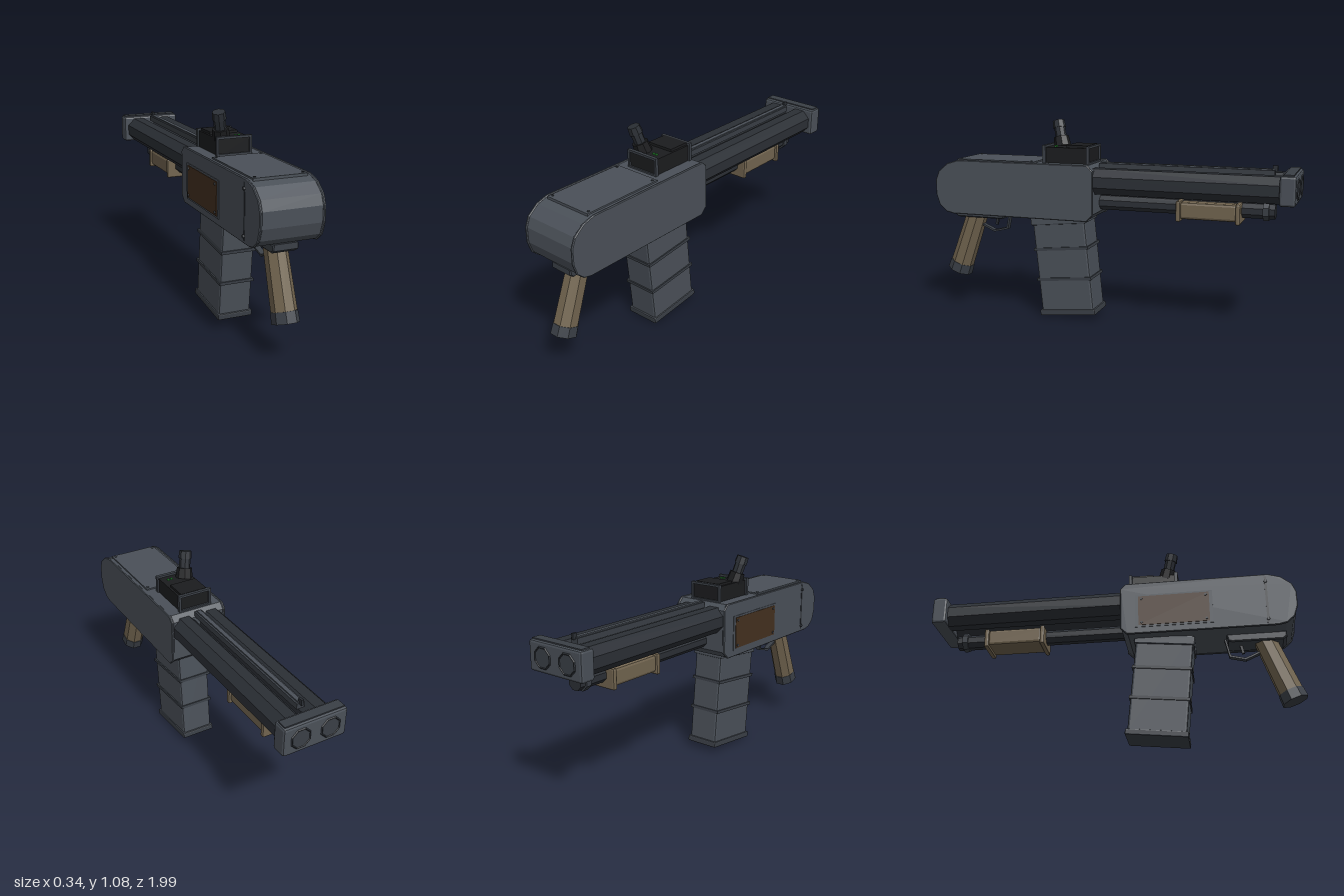
import * as THREE from 'three';
import { RoundedBoxGeometry } from 'three/addons/geometries/RoundedBoxGeometry.js';

const mat = (color) => new THREE.MeshStandardMaterial({ color, flatShading: true });
const SLATE = mat(0x4a5058), STEEL = mat(0x3a3f46), DARK = mat(0x2b2f35), BLACK = mat(0x1b1c1e);
const TAN = mat(0x71644f), BROWN = mat(0x44301f), GREEN = mat(0x2fae3a);

export function createModel() {
  const model = new THREE.Group();
  model.name = 'model';

  const add = (name, geometry, material, [x, y, z] = [0, 0, 0], parent = model) => {
    const mesh = new THREE.Mesh(geometry, material);
    mesh.name = name;
    mesh.position.set(x, y, z);
    parent.add(mesh);
    return mesh;
  };
  const box = (w, h, d, bevel = 0) =>
    bevel ? new RoundedBoxGeometry(w, h, d, 1, bevel) : new THREE.BoxGeometry(w, h, d);
  // Octagonal prism with flats facing the axes; a and b are distances to the flats
  const octagon = (a, b, length) => {
    const k = 1 / Math.cos(Math.PI / 8);
    return new THREE.CylinderGeometry(a * k, b * k, length, 8).rotateY(Math.PI / 8);
  };
  const octagonZ = (a, z0, z1) => octagon(a, a, z1 - z0).rotateX(Math.PI / 2).translate(0, 0, (z0 + z1) / 2);
  // Side profile given as [z, y], extruded across x
  const slab = (points, width, bevel) => {
    const shape = new THREE.Shape(points.map(([z, y]) => new THREE.Vector2(z, y)));
    const depth = width - 2 * bevel;
    return new THREE.ExtrudeGeometry(shape, {
      depth, bevelEnabled: bevel > 0, bevelThickness: bevel, bevelSize: bevel, bevelOffset: -bevel, bevelSegments: 1,
    }).translate(0, 0, -depth / 2).rotateY(-Math.PI / 2);
  };

  // Receiver core and its slightly larger side plates
  const profile = [
    [0.085, 0.565], [0.87, 0.565], [0.915, 0.575], [0.955, 0.61], [0.975, 0.67], [0.975, 0.75],
    [0.955, 0.80], [0.90, 0.845], [0.835, 0.865], [0.08, 0.865], [0.05, 0.835], [0.05, 0.60],
  ];
  const inset = profile.map(([z, y]) => [0.51 + (z - 0.51) * 0.99, 0.715 + (y - 0.715) * 0.975]);
  add('receiver', slab(inset, 0.31, 0), SLATE);
  for (const s of [-1, 1]) add('sidePlate', slab(profile, 0.014, 0.004), SLATE, [s * 0.155, 0, 0]);
  add('topCover', box(0.27, 0.014, 0.46), SLATE, [0, 0.862, 0.62]);
  for (const x of [-0.12, 0.12]) for (const z of [0.41, 0.83])
    add('coverScrew', new THREE.CylinderGeometry(0.007, 0.007, 0.005, 6), STEEL, [x, 0.87, z]);

  // Framed panel with screws on one side
  add('sidePanelFrame', box(0.006, 0.19, 0.41), SLATE, [-0.162, 0.695, 0.335]);
  add('sidePanel', box(0.008, 0.17, 0.375), BROWN, [-0.164, 0.695, 0.335]);
  for (const y of [0.625, 0.765]) for (const z of [0.165, 0.505])
    add('panelScrew', new THREE.CylinderGeometry(0.007, 0.007, 0.006, 6).rotateZ(Math.PI / 2), STEEL, [-0.169, y, z]);
  add('sideGroove', box(0.005, 0.27, 0.012), DARK, [-0.161, 0.715, 0.82]);
  for (const y of [0.60, 0.82])
    add('grooveScrew', new THREE.CylinderGeometry(0.009, 0.009, 0.01, 6).rotateZ(Math.PI / 2), STEEL, [-0.165, y, 0.82]);

  // Twin barrels with collars where they meet the receiver
  for (const s of [-1, 1]) {
    add('barrel', octagonZ(0.068, -0.93, 0.08), DARK, [s * 0.08, 0.775, 0]);
    add('muzzleRing', new THREE.TorusGeometry(0.052, 0.005, 4, 8).rotateZ(Math.PI / 8), DARK, [s * 0.08, 0.78, -0.994]);
    add('muzzleCap', octagonZ(0.044, -0.996, -0.98), STEEL, [s * 0.08, 0.78, 0]);
  }
  add('muzzleBlock', box(0.34, 0.15, 0.082, 0.012), SLATE, [0, 0.78, -0.953]);
  add('muzzleTop', box(0.32, 0.012, 0.05), STEEL, [0, 0.855, -0.955]);
  add('rail', box(0.042, 0.03, 0.93), STEEL, [0, 0.847, -0.405]);
  add('railTop', box(0.022, 0.012, 0.92), SLATE, [0, 0.862, -0.405]);
  add('frontSight', box(0.012, 0.03, 0.025), DARK, [0, 0.87, -0.87]);

  // Tube under the barrels with sliding fore-end
  add('lowerTube', octagonZ(0.038, -0.88, 0.08), DARK, [0, 0.65, 0]);
  add('tubeCollar', octagonZ(0.048, -0.85, -0.82), STEEL, [0, 0.652, 0]);
  add('foreEnd', box(0.15, 0.09, 0.30, 0.014), TAN, [0, 0.64, -0.545]);
  for (const z of [-0.39, -0.7]) add('foreEndFlange', box(0.17, 0.108, 0.025, 0.008), TAN, [0, 0.636, z]);

  // Slanted magazine
  const magazine = new THREE.Group();
  magazine.name = 'magazine';
  magazine.position.set(0, 0.02, 0.222);
  magazine.rotation.x = 0.1;
  model.add(magazine);
  add('magazineBody', box(0.175, 0.56, 0.305, 0.012), SLATE, [0, 0.30, 0], magazine);
  add('magazineBase', box(0.19, 0.032, 0.325, 0.006), STEEL, [0, 0.016, 0], magazine);
  for (const y of [0.205, 0.375]) add('magazineBand', box(0.188, 0.016, 0.317), STEEL, [0, y, 0], magazine);
  add('magazineCollar', box(0.19, 0.05, 0.32, 0.006), SLATE, [0, 0.535, 0], magazine);

  // Grip, its mounting plate and the trigger guard
  add('gripPlate', slab([[0.60, 0.575], [0.61, 0.535], [0.63, 0.53], [0.895, 0.53], [0.915, 0.545], [0.915, 0.575]], 0.13, 0.006), STEEL);
  const grip = new THREE.Group();
  grip.name = 'grip';
  grip.position.set(0, 0.53, 0.81);
  grip.rotation.x = -0.35;
  model.add(grip);
  add('gripHandle', octagon(0.055, 0.061, 0.34), TAN, [0, -0.135, 0], grip).scale.x = 0.92;
  add('gripCap', octagon(0.064, 0.066, 0.055), STEEL, [0, -0.3225, 0], grip).scale.x = 0.9;
  const guard = [[0.775, 0.485], [0.695, 0.45], [0.615, 0.47], [0.595, 0.565]];
  for (let i = 0; i < 3; i++) {
    const [z0, y0] = guard[i], [z1, y1] = guard[i + 1];
    add('triggerGuard', box(0.03, 0.01, Math.hypot(z1 - z0, y1 - y0) + 0.006), STEEL, [0, (y0 + y1) / 2, (z0 + z1) / 2])
      .rotation.x = -Math.atan2(y1 - y0, z1 - z0);
  }
  add('trigger', box(0.015, 0.05, 0.014), DARK, [0, 0.51, 0.68]).rotation.x = -0.2;

  // Breech housing: black block held between two open frames
  const frame = new THREE.Shape([[-0.095, 0.86], [0.095, 0.86], [0.095, 0.956], [-0.095, 0.956]].map((p) => new THREE.Vector2(...p)));
  frame.holes.push(new THREE.Path([[-0.083, 0.87], [-0.083, 0.944], [0.083, 0.944], [0.083, 0.87]].map((p) => new THREE.Vector2(...p))));
  for (const z of [0.09, 0.34])
    add('housingFrame', new THREE.ExtrudeGeometry(frame, { depth: 0.018, bevelEnabled: false }), STEEL, [0, 0, z]);
  add('housing', box(0.172, 0.09, 0.25), BLACK, [0, 0.9, 0.225]);
  add('housingRidge', box(0.15, 0.02, 0.12), BLACK, [0, 0.948, 0.165]);
  for (const x of [0.03, 0.048]) add('indicator', box(0.01, 0.008, 0.01), GREEN, [x, 0.947, 0.3]);

  // Tilted knob on the housing
  const knob = new THREE.Group();
  knob.name = 'knob';
  knob.position.set(-0.045, 0.94, 0.295);
  knob.rotation.set(0.26, 0, 0.21);
  model.add(knob);
  add('knobBase', octagon(0.038, 0.043, 0.055), BLACK, [0, 0.025, 0], knob);
  add('knobStem', octagon(0.028, 0.028, 0.08), DARK, [0, 0.08, 0], knob);
  add('knobHead', octagon(0.030, 0.033, 0.04), DARK, [0, 0.124, 0], knob);

  return model;
}
